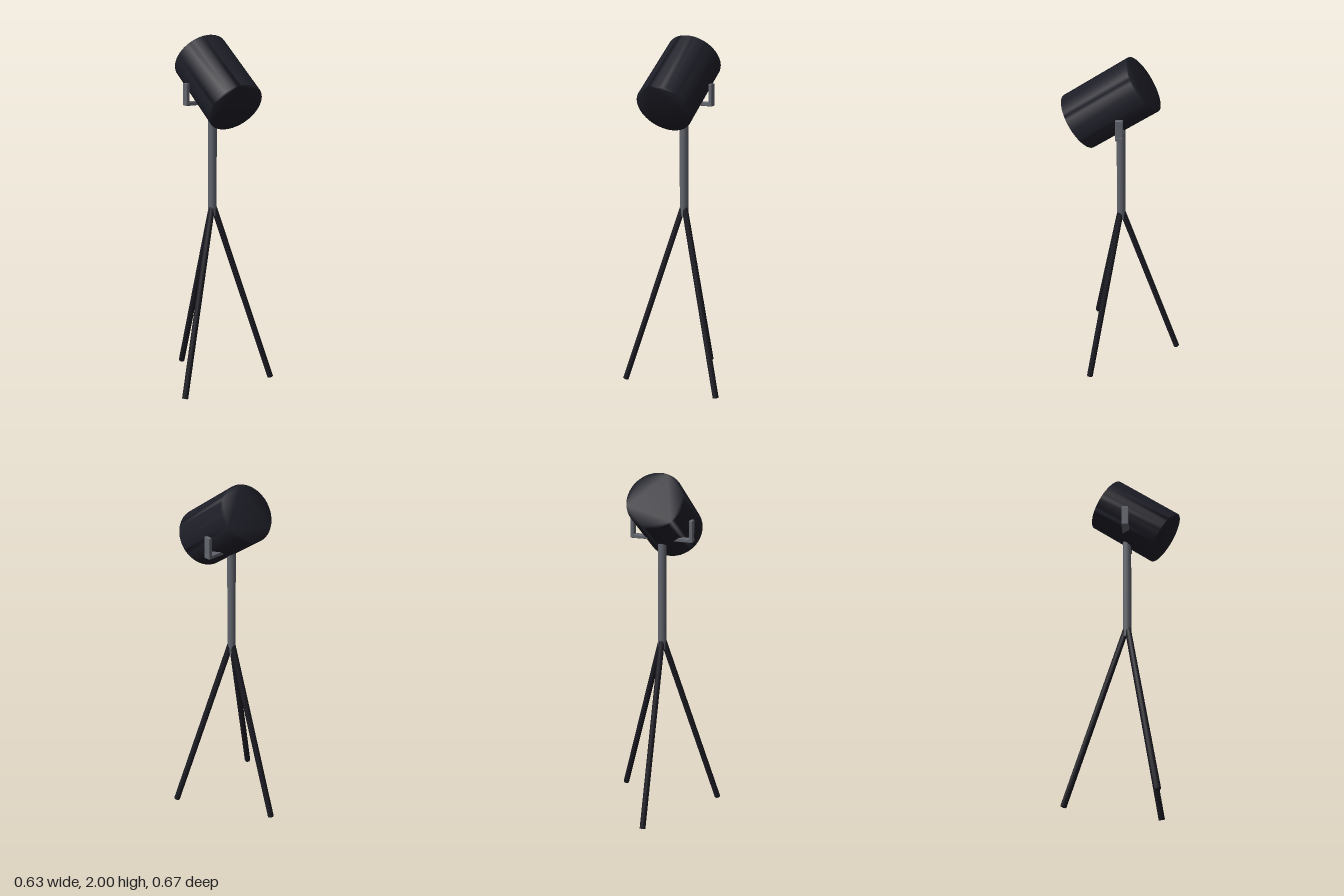
import * as THREE from 'three';
import { mergeVertices } from 'three/addons/utils/BufferGeometryUtils.js';
import { RoundedBoxGeometry } from 'three/addons/geometries/RoundedBoxGeometry.js';

const POLE_Z = 0.022;

function material(name, color) {
  const m = new THREE.MeshStandardMaterial({ color });
  m.name = name;
  return m;
}

// Share vertices across edges so shading runs smoothly over the rims
function smooth(geometry) {
  geometry.deleteAttribute('normal');
  geometry.deleteAttribute('uv');
  geometry.clearGroups();
  const merged = mergeVertices(geometry, 1e-4);
  merged.computeVertexNormals();
  return merged;
}

export function createModel() {
  const model = new THREE.Group();
  model.name = 'spotlightOnTripod';
  const housingBlack = material('housingBlack', 0x1e1e28);
  const legBlack = material('legBlack', 0x1a1a22);
  const metalGrey = material('metalGrey', 0x62656e);

  const add = (name, geometry, mat, x = 0, y = 0, z = 0) => {
    const mesh = new THREE.Mesh(geometry, mat);
    mesh.name = name;
    mesh.position.set(x, y, z);
    model.add(mesh);
    return mesh;
  };

  // Lamp housing: a drum tipped forward and down
  const disc = new THREE.Shape().absarc(0, 0, 0.16, 0, Math.PI * 2);
  const drum = new THREE.ExtrudeGeometry(disc, { depth: 0.416, curveSegments: 24, bevelEnabled: false });
  drum.translate(0, 0, -0.208);
  const housing = add('lampHousing', smooth(drum), housingBlack, 0, 1.75, 0.075);
  housing.rotation.x = THREE.MathUtils.degToRad(35);

  // U-shaped yoke: a base bar and two arms
  add('yokeBase', new RoundedBoxGeometry(0.36, 0.02, 0.04, 1, 0.003), metalGrey, 0, 1.637, 0.02);
  for (const side of [-1, 1]) {
    add(side > 0 ? 'leftYokeArm' : 'rightYokeArm',
      new RoundedBoxGeometry(0.02, 0.122, 0.04, 1, 0.003), metalGrey, side * 0.169, 1.688, 0.02);
  }

  // Centre pole
  add('pole', new THREE.CylinderGeometry(0.024, 0.024, 0.64, 12), metalGrey, 0, 1.31, POLE_Z);

  // Three splayed legs, one pointing backwards
  const up = new THREE.Vector3(0, 1, 0);
  const top = new THREE.Vector3(0, 1.06, POLE_Z);
  ['rearLeg', 'leftFrontLeg', 'rightFrontLeg'].forEach((name, i) => {
    const angle = Math.PI - i * Math.PI * 2 / 3;
    const foot = new THREE.Vector3(Math.sin(angle) * 0.342, 0.006, POLE_Z + Math.cos(angle) * 0.342);
    const direction = top.clone().sub(foot);
    const leg = add(name, smooth(new THREE.CylinderGeometry(0.0175, 0.0175, direction.length(), 8)), legBlack);
    leg.position.copy(top).add(foot).multiplyScalar(0.5);
    leg.quaternion.setFromUnitVectors(up, direction.normalize());
  });

  return model;
}
